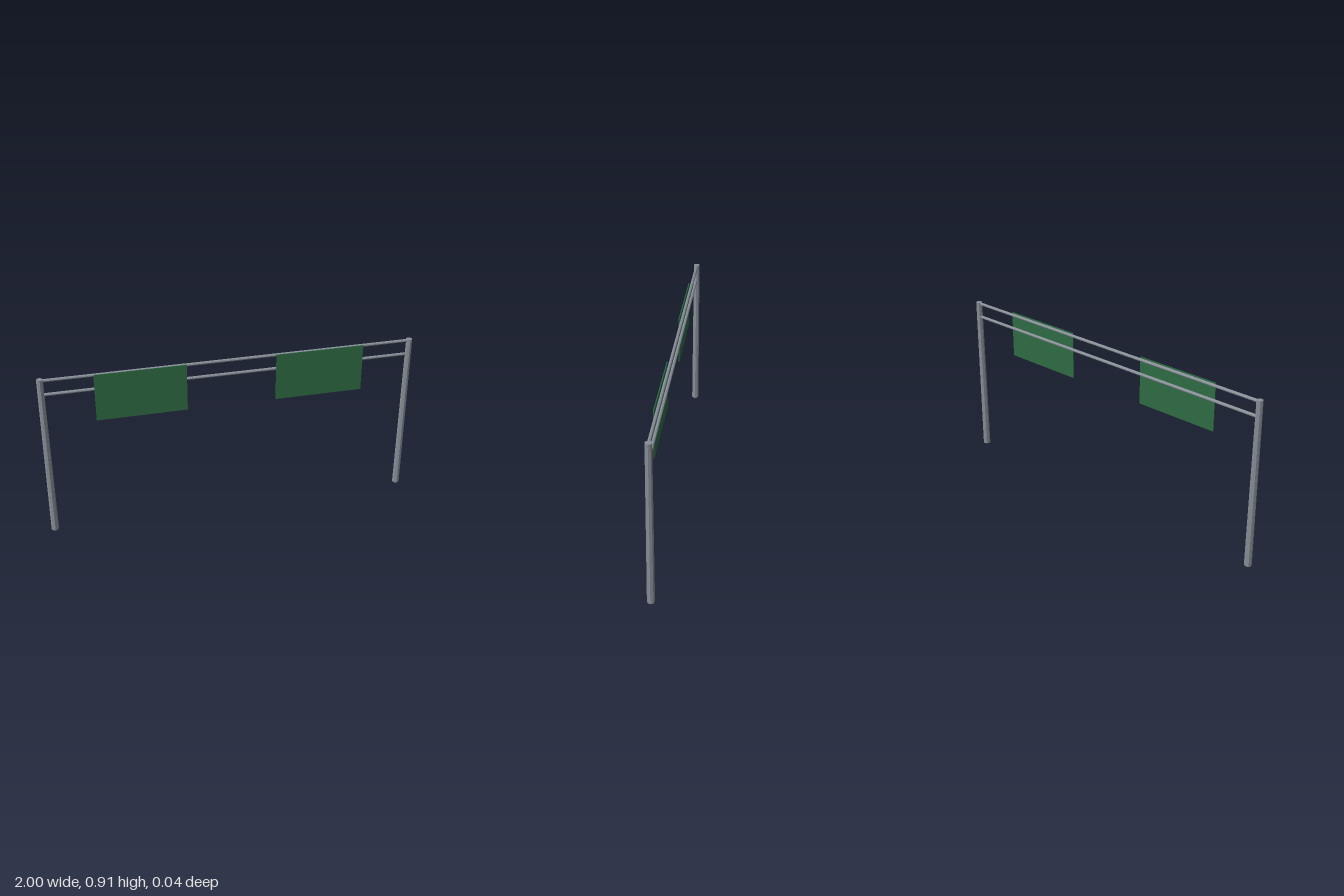
import * as THREE from 'three';

export function createModel() {
  const group = new THREE.Group();
  const steel = new THREE.MeshStandardMaterial({ color: 0x868e96, flatShading: true });
  steel.name = 'galvanised steel';
  const green = new THREE.MeshStandardMaterial({ color: 0x2d6a42, flatShading: true });
  green.name = 'sign green';

  const add = (name, geometry, material, x, y, z) => {
    const mesh = new THREE.Mesh(geometry, material);
    mesh.name = name;
    mesh.position.set(x, y, z);
    group.add(mesh);
  };

  // Slightly tapered posts and blank sign panels, mirrored left and right
  const height = 0.908;
  for (const [side, s] of [['left', 1], ['right', -1]]) {
    add(side + 'Post', new THREE.CylinderGeometry(0.017, 0.02, height, 8), steel, s * 0.98, height / 2, 0);
    add(side + 'SignPanel', new THREE.BoxGeometry(0.476, 0.26, 0.005), green, s * 0.476, 0.778, 0.016);
  }

  // Two horizontal rails spanning the posts
  for (const [name, y] of [['upperRail', 0.9], ['lowerRail', 0.821]]) {
    const rail = new THREE.CylinderGeometry(0.0085, 0.0085, 1.96, 8).rotateZ(Math.PI / 2);
    add(name, rail, steel, 0, y, 0);
  }
  return group;
}
